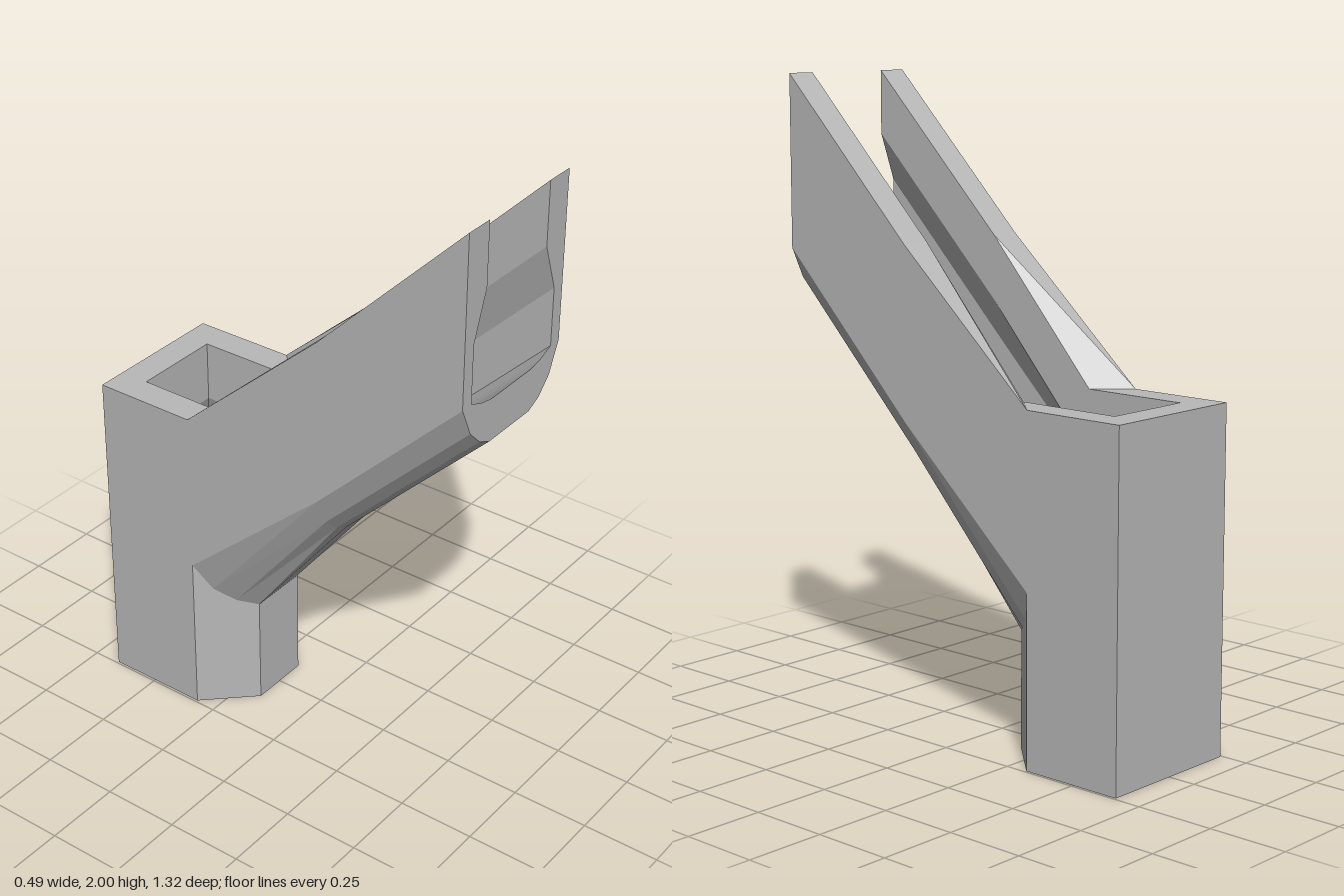
import * as THREE from 'three';

// Cross-section of one half of the trough at its open end: [x, y]
const OUTER = [[.243, 2], [.243, 1.8], [.243, 1.65], [.243, 1.465], [.2, 1.37], [.15, 1.32], [.1, 1.297], [0, 1.297]];
const INNER = [[.147, 2], [.147, 1.8], [.2, 1.65], [.2, 1.465], [.2, 1.465], [.15, 1.445], [.1, 1.435], [0, 1.435]];
const DROP = 0.927;
// Slanted plan line where the trough meets the shaft
const mitreZ = (x) => Math.max(-.32, Math.min(-.17, -.32 + (.243 - x) * 1.05));

// Skin a grid of points; flip reverses the facing
function skin(out, rows, flip = false) {
  for (let i = 0; i + 1 < rows.length; i++) {
    for (let j = 0; j + 1 < rows[i].length; j++) {
      const a = rows[i][j], b = rows[i][j + 1], c = rows[i + 1][j + 1], d = rows[i + 1][j];
      for (const t of [[a, b, c], [a, c, d]]) {
        const [p, q, r] = flip ? [t[0], t[2], t[1]] : t;
        const n = new THREE.Vector3(...q).sub(new THREE.Vector3(...p))
          .cross(new THREE.Vector3(...r).sub(new THREE.Vector3(...p)));
        if (n.length() > 1e-7) out.push(p, q, r);
      }
    }
  }
}

// Mirror the +x half across the centre and make one flat-faced mesh
function mirroredMesh(name, tris, material) {
  const all = [...tris];
  for (let i = 0; i < tris.length; i += 3) {
    for (const k of [0, 2, 1]) {
      const [x, y, z] = tris[i + k];
      all.push([-x, y, z]);
    }
  }
  const g = new THREE.BufferGeometry();
  g.setAttribute('position', new THREE.Float32BufferAttribute(all.flat(), 3));
  g.computeVertexNormals();
  const mesh = new THREE.Mesh(g, material);
  mesh.name = name;
  return mesh;
}

export function createModel() {
  const group = new THREE.Group();
  group.name = 'chute';
  const grey = new THREE.MeshStandardMaterial({ color: 0xb8b8b8 });
  grey.name = 'grey';

  // Trough sections: open end, bend, and the joint with the shaft
  const at = (pts, z, drop) => pts.map(([x, y]) => [x, y - drop, z]);
  const jointOuter = OUTER.map(([x, y]) => [x, y - DROP, mitreZ(x)]);
  const floorY = [.5, .5, .44, .4, .4];
  const jointInner = INNER.map(([x, y], i) => i < 3
    ? [x, y - DROP, mitreZ(x)]
    : [x, floorY[i - 3], mitreZ(.2)]);
  const outer = [at(OUTER, .66, 0), at(OUTER, .17, .49), jointOuter];
  const inner = [at(INNER, .66, 0), at(INNER, .17, .49), jointInner];

  const trough = [];
  skin(trough, outer);
  skin(trough, inner, true);
  skin(trough, outer.map((row, i) => [inner[i][0], row[0]])); // top edge
  skin(trough, [outer[0], inner[0]], true); // open end
  group.add(mirroredMesh('trough', trough, grey));

  // Shaft wall swept from the joint, round the back corner, to the centre
  const wall = [[.2, 0], [.2, 1.65 - DROP], [.147, 1.8 - DROP], [.147, 2 - DROP], [.243, 2 - DROP], [.243, 0], [.2, 0]];
  const shaft = [];
  skin(shaft, [
    wall.map(([x, y]) => [x, y, mitreZ(x)]),
    wall.map(([x, y]) => [x, y, -.417 - x]),
    wall.map(([x, y]) => [0, y, -.417 - x]),
  ]);
  group.add(mirroredMesh('shaft', shaft, grey));

  // Chamfered front of the shaft under the trough
  const ground = (row) => row.map(([x, , z]) => [x, 0, z]);
  const front = jointOuter.slice(3), back = jointInner.slice(4);
  const lower = [];
  skin(lower, [front, ground(front)]);
  skin(lower, [back, ground(back)], true);
  skin(lower, [ground(front.slice(1)), ground(back)]);
  group.add(mirroredMesh('shaftFront', lower, grey));

  return group;
}
